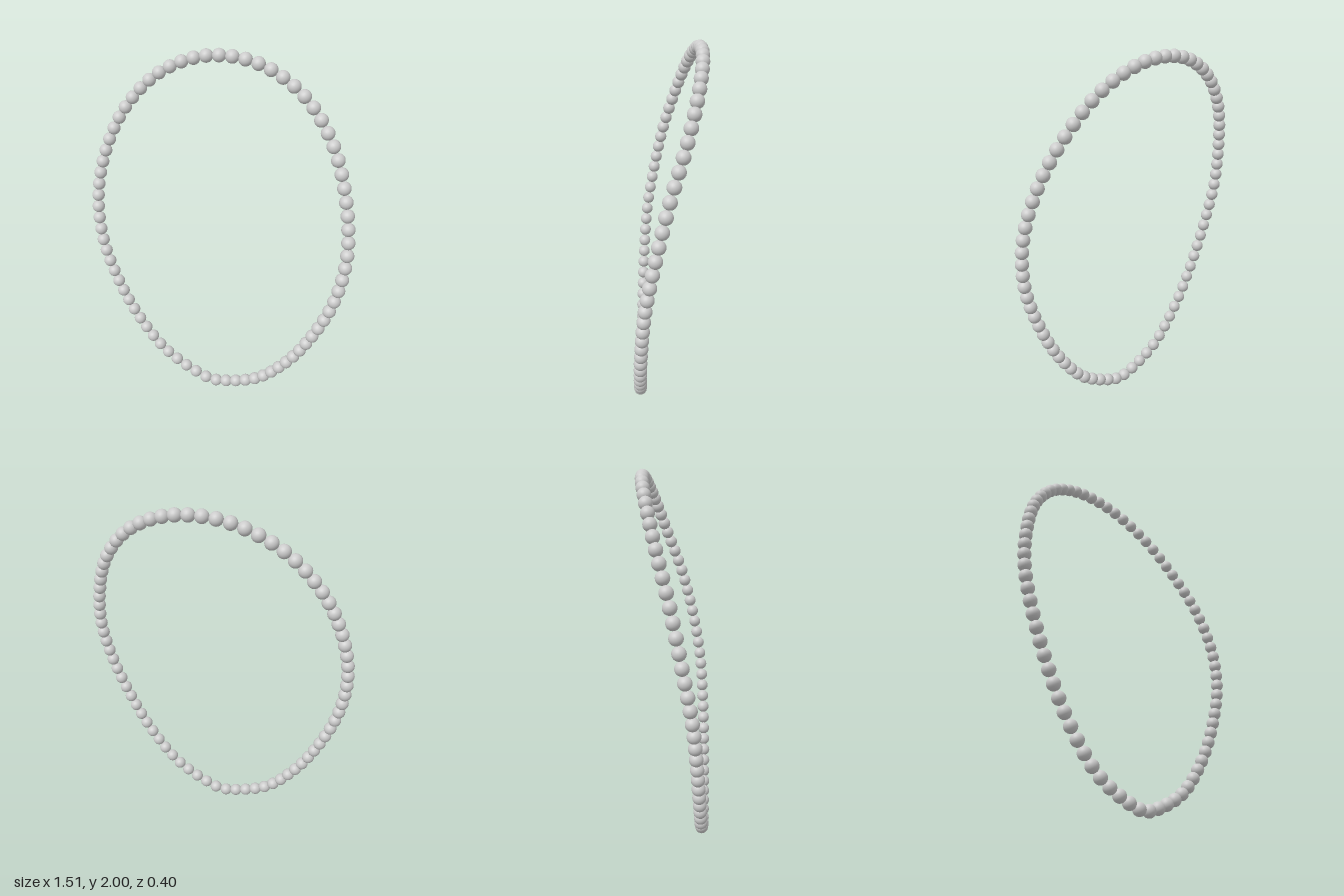
import * as THREE from 'three';

const BEADS = 77;
const RADIUS = 0.035;

// Path of the strand: an egg-shaped loop whose upper end curves backwards
const PATH = [
  [-0.026, 0.037, 0.163], [-0.28, 0.145, 0.161], [-0.466, 0.352, 0.156], [-0.598, 0.595, 0.145],
  [-0.688, 0.854, 0.124], [-0.72, 1.124, 0.077], [-0.677, 1.394, 0.019], [-0.571, 1.643, -0.052],
  [-0.392, 1.841, -0.113], [-0.143, 1.955, -0.155], [0.13, 1.955, -0.163], [0.378, 1.844, -0.134],
  [0.556, 1.648, -0.075], [0.669, 1.402, 0.007], [0.72, 1.138, 0.073], [0.693, 0.87, 0.122],
  [0.6, 0.606, 0.145], [0.468, 0.362, 0.156], [0.286, 0.156, 0.161], [0.037, 0.037, 0.163],
];

export function createModel() {
  const necklace = new THREE.Group();
  necklace.name = 'beadNecklace';

  const curve = new THREE.CatmullRomCurve3(PATH.map((p) => new THREE.Vector3(...p)), true);
  curve.arcLengthDivisions = 1000;

  // Round beads, evenly spaced and touching, each turned to follow the strand
  const geometry = new THREE.SphereGeometry(RADIUS, 24, 16);
  const material = new THREE.MeshStandardMaterial({ color: 0xcccccc });
  const up = new THREE.Vector3(0, 1, 0);
  for (let i = 0; i < BEADS; i++) {
    const bead = new THREE.Mesh(geometry, material);
    bead.name = `bead${i + 1}`;
    bead.position.copy(curve.getPointAt(i / BEADS));
    bead.quaternion.setFromUnitVectors(up, curve.getTangentAt(i / BEADS));
    necklace.add(bead);
  }
  return necklace;
}
